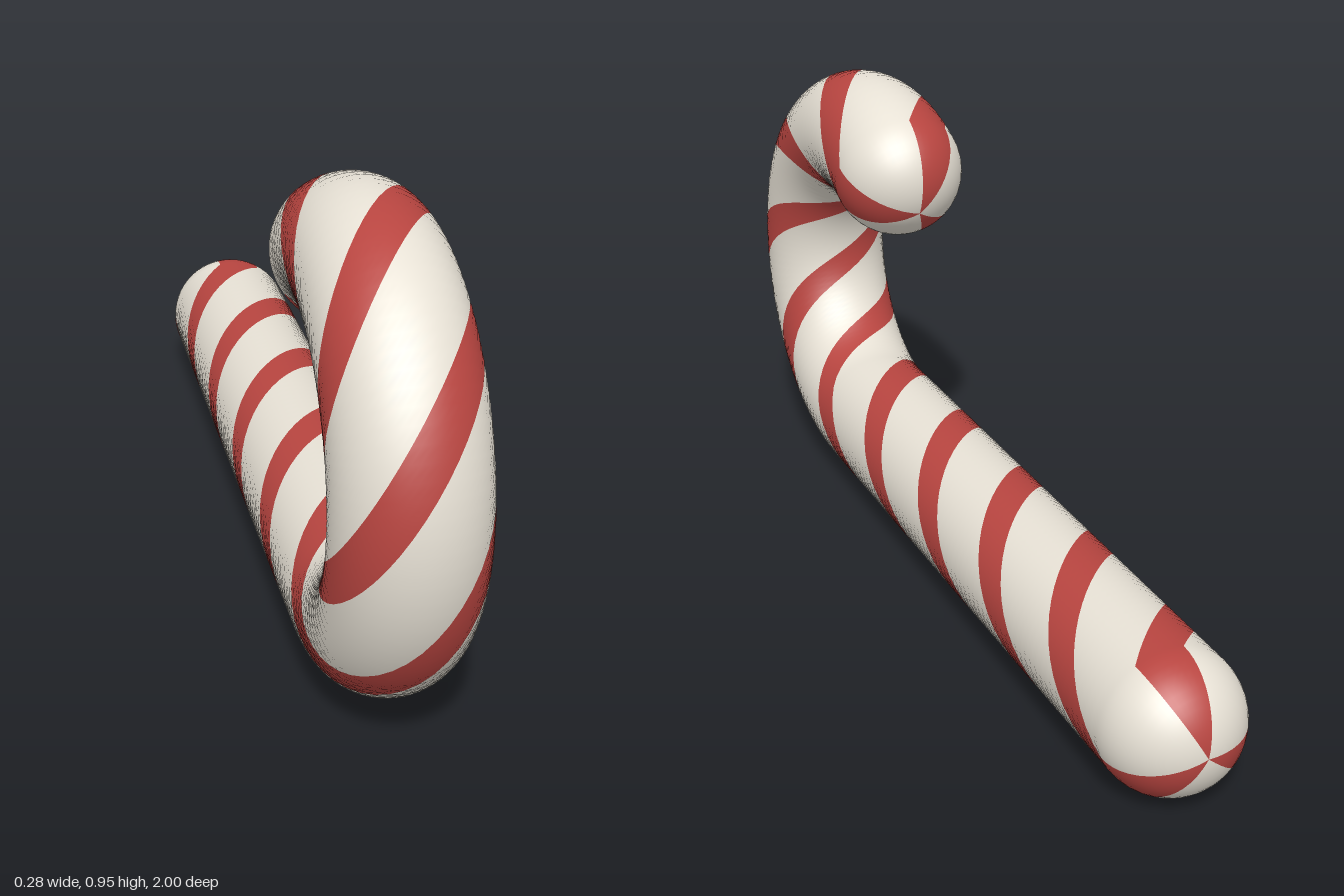
import * as THREE from 'three';

const R = 0.14;                 // rod radius
const BEND = 0.335;             // hook radius
const BEND_Y = 0.475, BEND_Z = 0.525;
const STRAIGHT = 1.385;         // length of the straight shaft
const HOOK = THREE.MathUtils.degToRad(205.6);
const LENGTH = STRAIGHT + BEND * HOOK;
const TWIST = 2.8 * Math.PI * 2;
const STRIPES = 3;

// Centre, tangent and inward direction at distance s along the cane
function frameAt(s) {
  const phi = Math.max(0, s - STRAIGHT) / BEND;
  const c = Math.cos(phi), n = Math.sin(phi);
  return {
    centre: new THREE.Vector3(0, BEND_Y - BEND * c, BEND_Z + BEND * n + Math.min(0, s - STRAIGHT)),
    tangent: new THREE.Vector3(0, n, c),
    inward: new THREE.Vector3(0, c, -n),
    twist: TWIST * s / LENGTH,
  };
}

// Rings from cap to cap; tilt is the normal's lean along the tangent
function makeRings() {
  const rings = [];
  const capSteps = 12, steps = 120;
  for (let i = 0; i < capSteps; i++) rings.push({ ...frameAt(0), tilt: -Math.PI / 2 * (1 - i / capSteps) });
  for (let i = 0; i <= steps; i++) rings.push({ ...frameAt(LENGTH * i / steps), tilt: 0 });
  for (let i = 1; i <= capSteps; i++) rings.push({ ...frameAt(LENGTH), tilt: Math.PI / 2 * i / capSteps });
  return rings;
}

// One twisted band of the rod's surface between two angles
function bandGeometry(rings, start, width, segments) {
  const positions = [], normals = [], index = [];
  const side = new THREE.Vector3(1, 0, 0);
  for (const ring of rings) {
    for (let j = 0; j <= segments; j++) {
      const a = start + width * j / segments + ring.twist;
      const normal = new THREE.Vector3()
        .addScaledVector(side, Math.cos(a) * Math.cos(ring.tilt))
        .addScaledVector(ring.inward, Math.sin(a) * Math.cos(ring.tilt))
        .addScaledVector(ring.tangent, Math.sin(ring.tilt));
      const p = ring.centre.clone().addScaledVector(normal, R);
      positions.push(p.x, p.y, p.z);
      normals.push(normal.x, normal.y, normal.z);
    }
  }
  const row = segments + 1;
  for (let i = 0; i < rings.length - 1; i++) {
    for (let j = 0; j < segments; j++) {
      const a = i * row + j, b = a + 1, c = b + row, d = a + row;
      index.push(a, b, c, a, c, d);
    }
  }
  const geometry = new THREE.BufferGeometry();
  geometry.setAttribute('position', new THREE.Float32BufferAttribute(positions, 3));
  geometry.setAttribute('normal', new THREE.Float32BufferAttribute(normals, 3));
  geometry.setIndex(index);
  return geometry;
}

export function createModel() {
  const white = new THREE.MeshStandardMaterial({ color: 0xe8e2d6 });
  white.name = 'sugarWhite';
  const red = new THREE.MeshStandardMaterial({ color: 0xb84540 });
  red.name = 'stripeRed';

  const cane = new THREE.Group();
  cane.name = 'candyCane';
  const rings = makeRings();
  const pitch = Math.PI * 2 / STRIPES;
  const first = THREE.MathUtils.degToRad(60);

  // Alternating red stripes and wider white bands wind along the rod
  for (let k = 0; k < STRIPES; k++) {
    const start = first + k * pitch;
    const stripe = new THREE.Mesh(bandGeometry(rings, start, pitch / 3, 6), red);
    stripe.name = `redStripe${k + 1}`;
    const band = new THREE.Mesh(bandGeometry(rings, start + pitch / 3, pitch * 2 / 3, 12), white);
    band.name = `whiteBand${k + 1}`;
    cane.add(stripe, band);
  }
  return cane;
}
